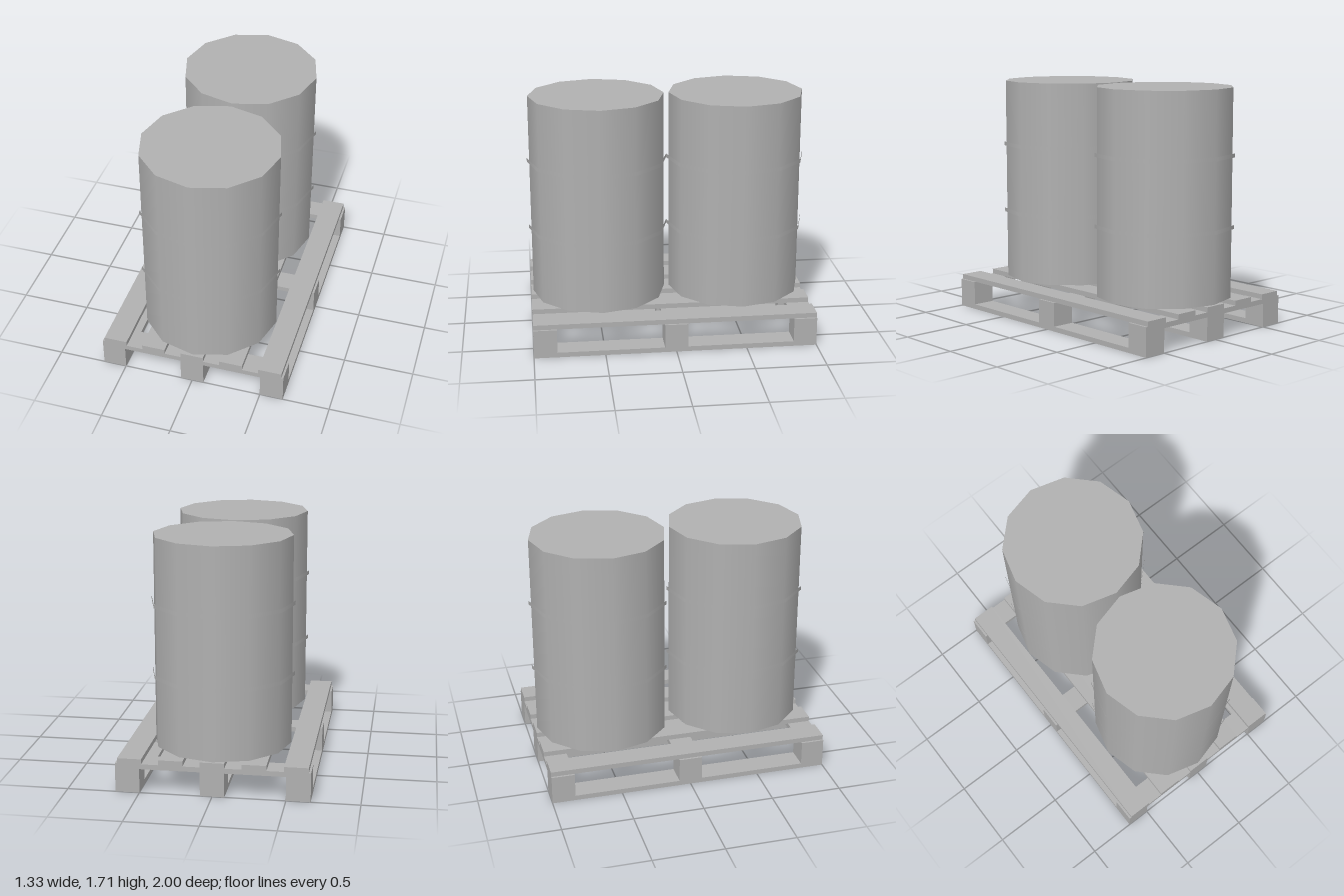
import * as THREE from 'three';

export function createModel() {
  const model = new THREE.Group();
  const grey = new THREE.MeshStandardMaterial({ color: 0xb0b0b0 });
  grey.name = 'plain grey';

  const add = (parent, name, geometry, x, y, z) => {
    const mesh = new THREE.Mesh(geometry, grey);
    mesh.name = name;
    mesh.position.set(x, y, z);
    parent.add(mesh);
  };

  // Pallet: skids, blocks, cross boards and deck slats
  const pallet = new THREE.Group();
  pallet.name = 'pallet';
  model.add(pallet);

  const skid = new THREE.BoxGeometry(0.167, 0.035, 2);
  const block = new THREE.BoxGeometry(0.167, 0.135, 0.164);
  const crossBoard = new THREE.BoxGeometry(1.332, 0.035, 0.164);
  const slat = new THREE.BoxGeometry(0.166, 0.035, 2);
  const rows = [-0.918, 0, 0.918];

  for (const x of [-0.5825, 0, 0.5825]) {
    add(pallet, 'skid', skid, x, 0.0175, 0);
    for (const z of rows) add(pallet, 'block', block, x, 0.1025, z);
  }
  for (const z of rows) add(pallet, 'crossBoard', crossBoard, 0, 0.1875, z);
  for (let i = -2; i <= 2; i++) add(pallet, 'deckSlat', slat, i * 0.284, 0.2225, 0);

  // Two twelve-sided drums, each with two raised open bands
  const body = new THREE.CylinderGeometry(0.483, 0.483, 1.47, 12);
  const band = new THREE.CylinderGeometry(0.5, 0.5, 0.028, 12, 1, true);

  for (const z of [-0.5, 0.5]) {
    const drum = new THREE.Group();
    drum.name = 'drum';
    drum.position.z = z;
    add(drum, 'drumBody', body, 0, 0.975, 0);
    for (const y of [0.744, 1.244]) add(drum, 'drumBand', band, 0, y, 0);
    model.add(drum);
  }

  return model;
}
